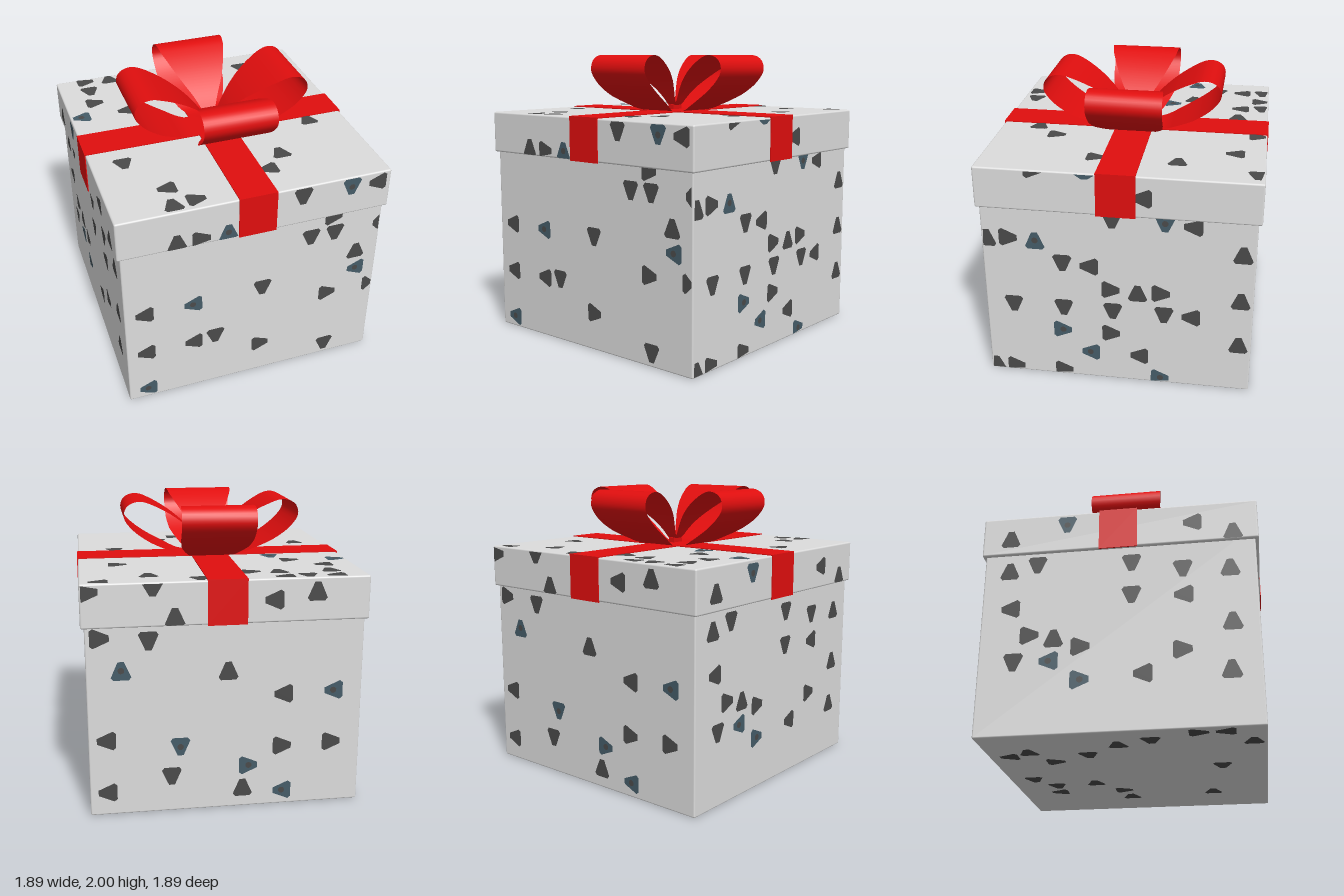
import * as THREE from 'three';
import { RoundedBoxGeometry } from 'three/addons/geometries/RoundedBoxGeometry.js';

const mat = (name, color, side = THREE.FrontSide) => {
  const m = new THREE.MeshStandardMaterial({ color, side });
  m.name = name;
  return m;
};

// Printed triangles per face: [across, up, pointing direction]; lower case = blue-grey
const BODY = {
  front: [[-.78, .78, 'L'], [-.44, .78, 'l'], [.06, .79, 'D'], [.76, .78, 'l'], [.75, .94, 'U'], [.4, 1.14, 'D'],
    [.575, 1.14, 'D'], [.56, 1.28, 'R'], [.92, 1.15, 'L'], [.56, .605, 'R'], [.9, .605, 'R'], [-.78, .43, 'L'],
    [-.44, .43, 'L'], [-.28, .44, 'D'], [.06, .26, 'R'], [.575, .09, 'D'], [-.78, .08, 'l']],
  right: [[-.88, 1.07, 'U'], [-.73, 1.08, 'R'], [-.55, 1.07, 'u'], [-.37, .91, 'D'], [-.19, .9, 'L'], [-.04, .73, 'R'],
    [.14, .72, 'U'], [.3, .73, 'R'], [.83, .72, 'U'], [.83, 1.07, 'U'], [.83, .37, 'U'], [-.72, .56, 'D'], [-.37, .56, 'D'],
    [-.03, .56, 'D'], [.32, .56, 'D'], [.5, .56, 'L'], [-.38, .38, 'r'], [-.04, .38, 'R'], [-.19, .21, 'l'], [.15, .21, 'L'],
    [-.88, .04, 'U'], [-.73, .04, 'R'], [-.38, .04, 'R'], [.3, .04, 'r'], [-.03, 1.26, 'D'], [.32, 1.26, 'd'], [.5, 1.25, 'L']],
  back: [[-.82, 1.23, 'R'], [-.51, 1.2, 'D'], [-.69, 1.01, 'u'], [.01, .98, 'U'], [.38, .8, 'L'], [.72, .81, 'l'],
    [-.8, .53, 'L'], [-.8, .16, 'L'], [-.31, .46, 'd'], [-.37, .25, 'D'], [.15, .3, 'r'], [.38, .43, 'R'], [.72, .44, 'R'],
    [.11, .14, 'U'], [.38, .1, 'l']],
  left: [[-.74, 1.18, 'U'], [-.55, 1.21, 'D'], [-.58, .69, 'R'], [-.42, .66, 'U'], [-.24, .59, 'R'], [-.68, .5, 'D'],
    [-.45, .5, 'l'], [-.72, .89, 'L'], [.09, .94, 'D'], [.43, .92, 'L'], [.42, .53, 'R'], [.74, .71, 'U'], [.74, 1.1, 'U'],
    [.72, .38, 'U'], [.43, 1.11, 'D'], [.09, 1.18, 'D'], [-.24, .36, 'r'], [.16, .38, 'L']],
  bottom: [[.54, -.11, 'L'], [.37, -.14, 'U'], [.2, -.61, 'R'], [.36, -.63, 'D'], [.15, -.32, 'L'], [.02, -.74, 'R'],
    [-.38, -.49, 'U'], [-.6, -.63, 'L'], [-.52, -.78, 'D'], [-.49, -.25, 'R'], [.48, .51, 'L'], [-.15, .61, 'R'],
    [-.65, .83, 'L'], [-.84, .66, 'D'], [-.84, .5, 'U'], [-.73, .19, 'R'], [-.68, -.03, 'L']],
};
const LID = {
  front: [[.31, 1.515, 'D'], [.655, 1.515, 'd'], [.84, 1.515, 'L'], [-.545, 1.355, 'U'], [-.38, 1.345, 'R'], [-.2, 1.355, 'u']],
  right: [[.17, 1.44, 'L'], [-.53, 1.6, 'R'], [-.2, 1.61, 'd']],
  back: [[-.88, 1.54, 'R'], [-.48, 1.56, 'D'], [-.34, 1.36, 'U'], [.3, 1.45, 'L'], [.585, 1.5, 'U']],
  left: [[-.74, 1.42, 'U'], [-.35, 1.5, 'd'], [.5, 1.45, 'L'], [.77, 1.36, 'U']],
  top: [[-.72, .89, 'R'], [-.54, .88, 'U'], [-.38, .89, 'R'], [.17, .88, 'U'], [.82, .89, 'R'], [-.72, .73, 'D'],
    [-.37, .73, 'D'], [-.19, .72, 'L'], [.49, .73, 'D'], [-.72, .55, 'R'], [-.86, .37, 'l'], [-.53, .37, 'L'], [.67, .37, 'L'],
    [-.42, .22, 'u'], [.67, -.17, 'U'], [-.72, -.31, 'D'], [.32, -.51, 'U'], [.17, -.67, 'L'], [-.53, -.67, 'L'],
    [-.54, -.85, 'U'], [-.38, -.84, 'R']],
};
const TURN = { front: [0, 0], right: [0, Math.PI / 2], back: [0, Math.PI], left: [0, -Math.PI / 2],
  top: [-Math.PI / 2, 0], bottom: [Math.PI / 2, 0] };
const ANGLE = { U: 0, L: Math.PI / 2, D: Math.PI, R: -Math.PI / 2 };
// Blunt-cornered triangle pointing up
const TRIANGLE = [[-.05, -.065], [.05, -.065], [.066, -.045], [.02, .06], [-.02, .06], [-.066, -.045]];

// One mesh of flat polygons, trimmed to the face limits
function printMesh(name, marks, points, limits, depth, material) {
  const [umax, vmin, vmax] = limits, pos = [], index = [];
  for (const [u, v, dir] of marks) {
    const a = ANGLE[dir.toUpperCase()], c = Math.cos(a), s = Math.sin(a), start = pos.length / 3;
    for (const [x, y] of points) {
      pos.push(THREE.MathUtils.clamp(u + x * c - y * s, -umax, umax),
        THREE.MathUtils.clamp(v + x * s + y * c, vmin, vmax), depth);
    }
    for (let i = 1; i < points.length - 1; i++) index.push(start, start + i, start + i + 1);
  }
  const g = new THREE.BufferGeometry();
  g.setAttribute('position', new THREE.Float32BufferAttribute(pos, 3));
  g.setAttribute('normal', new THREE.Float32BufferAttribute(pos.map((_, i) => (i % 3 === 2 ? 1 : 0)), 3));
  g.setIndex(index);
  const m = new THREE.Mesh(g, material);
  m.name = name;
  return m;
}

// Bow loop: a ribbon strip following a side profile, narrowing to the knot
function loopGeometry() {
  const path = new THREE.CatmullRomCurve3([[.02, 1.605], [.2, 1.605], [.31, 1.65], [.46, 1.73], [.565, 1.815],
    [.613, 1.89], [.6, 1.955], [.555, 1.99], [.49, 1.998], [.4, 1.965], [.25, 1.875], [.12, 1.76], [.03, 1.635]]
    .map(([x, y]) => new THREE.Vector3(x, y, 0)));
  const width = [[0, .03], [.06, .05], [.18, .132], [.25, .17], [.32, .2], [.42, .235], [.52, .25], [.7, .255]];
  const halfWidth = (r) => {
    const i = Math.max(1, width.findIndex(([x]) => x >= r));
    const [r0, w0] = width[i - 1], [r1, w1] = width[i];
    return THREE.MathUtils.mapLinear(r, r0, r1, w0, w1);
  };
  const pos = [], index = [], N = 64;
  path.getSpacedPoints(N).forEach((p, i) => {
    const w = halfWidth(p.x);
    pos.push(p.x, p.y, w, p.x, p.y, -w);
    if (i < N) index.push(2 * i, 2 * i + 2, 2 * i + 1, 2 * i + 1, 2 * i + 2, 2 * i + 3);
  });
  const g = new THREE.BufferGeometry();
  g.setAttribute('position', new THREE.Float32BufferAttribute(pos, 3));
  g.setIndex(index);
  g.computeVertexNormals();
  return g;
}

export function createModel() {
  const model = new THREE.Group();
  model.name = 'giftBox';
  const paper = mat('lightGreyPaper', 0xdcdcdc);
  const dark = mat('charcoalPrint', 0x4a4a4a);
  const teal = mat('blueGreyPrint', 0x455c68);
  const red = mat('redRibbon', 0xe00e0e, THREE.DoubleSide);

  const add = (name, geometry, material, x = 0, y = 0, z = 0) => {
    const m = new THREE.Mesh(geometry, material);
    m.name = name;
    m.position.set(x, y, z);
    model.add(m);
    return m;
  };

  // Box and lid
  add('boxBody', new RoundedBoxGeometry(1.83, 1.4, 1.83, 2, .01), paper, 0, .7, 0);
  add('lid', new RoundedBoxGeometry(1.876, .29, 1.876, 2, .012), paper, 0, 1.445, 0);

  // Printed pattern on every face
  const circle = Array.from({ length: 10 }, (_, i) => [.022 * Math.cos(i * Math.PI / 5), .022 * Math.sin(i * Math.PI / 5)]);
  const addPrint = (part, faces, half, vmin, vmax) => {
    for (const [face, marks] of Object.entries(faces)) {
      const flat = face === 'top' || face === 'bottom';
      const limits = flat ? [half - .01, .01 - half, half - .01] : [half - .01, vmin, vmax];
      const depth = (face === 'top' ? 1.59 : face === 'bottom' ? 0 : half) + .002;
      const plain = marks.filter((m) => m[2] < 'a'), tinted = marks.filter((m) => m[2] >= 'a');
      const group = new THREE.Group();
      group.name = `${part}${face[0].toUpperCase()}${face.slice(1)}Print`;
      group.rotation.set(...TURN[face], 0);
      group.add(printMesh('darkTriangles', plain, TRIANGLE, limits, depth, dark));
      if (tinted.length) {
        group.add(printMesh('tintedTriangles', tinted, TRIANGLE, limits, depth, teal));
        group.add(printMesh('triangleDots', tinted, circle, limits, depth + .001, dark));
      }
      model.add(group);
    }
  };
  addPrint('body', BODY, .915, .008, 1.3);
  addPrint('lid', LID, .938, 1.305, 1.58);

  // Ribbon bands across the lid and down its four sides
  add('ribbonAcross', new THREE.BoxGeometry(1.888, .008, .26), red, 0, 1.592, 0);
  add('ribbonAlong', new THREE.BoxGeometry(.26, .008, 1.888), red, 0, 1.5925, 0);
  const loop = loopGeometry();
  for (let i = 0; i < 4; i++) {
    const a = i * Math.PI / 2;
    add('ribbonEnd', new THREE.BoxGeometry(.26, .3, .008), red, .94 * Math.sin(a), 1.445, .94 * Math.cos(a)).rotation.y = a;
    add('bowLoop', loop, red).rotation.y = a;
  }
  add('bowKnot', new THREE.BoxGeometry(.05, .04, .09), red, 0, 1.62, 0);
  return model;
}
